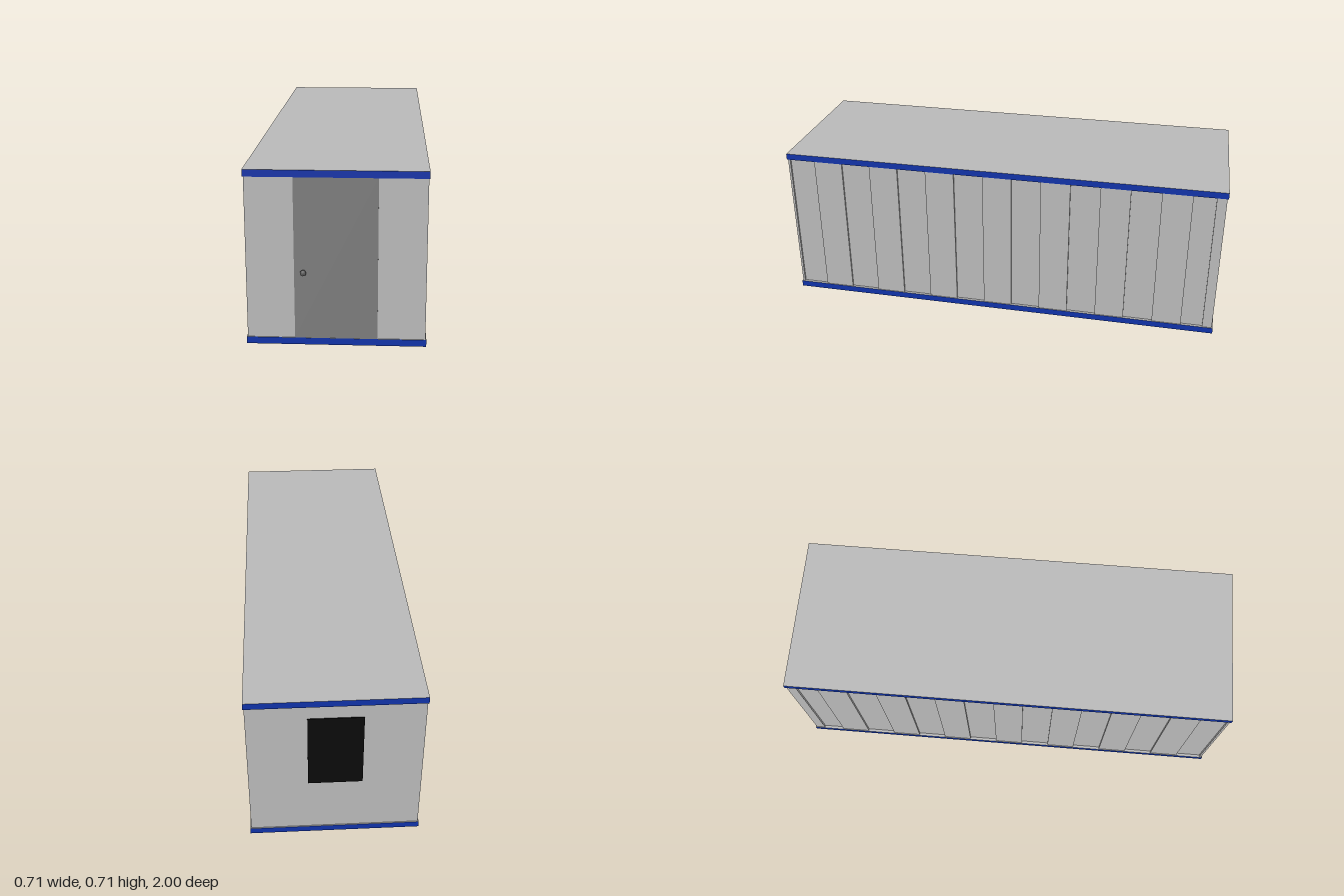
import * as THREE from 'three';

const mat = (name, color, side = THREE.FrontSide) => {
  const m = new THREE.MeshStandardMaterial({ color, side });
  m.name = name;
  return m;
};

export function createModel() {
  const grey = mat('wallGrey', 0xb8b8b8);
  const doorGrey = mat('doorGrey', 0x7b7b7b);
  const blue = mat('trimBlue', 0x0f31a6);
  const black = mat('windowBlack', 0x0a0a0a);
  const metal = mat('knobMetal', 0x5c5c5c);

  const model = new THREE.Group();
  model.name = 'cabin';
  const add = (name, geometry, material, x, y, z) => {
    const mesh = new THREE.Mesh(geometry, material);
    mesh.name = name;
    mesh.position.set(x, y, z);
    model.add(mesh);
    return mesh;
  };
  const box = (name, w, h, d, material, x, y, z) =>
    add(name, new THREE.BoxGeometry(w, h, d), material, x, y, z);

  const front = 0.98, back = -0.998;
  const length = front - back, midZ = (front + back) / 2;
  const low = 0.028, high = 0.68, band = 0.028;
  const outer = 0.349, inner = 0.34;

  // Floor and roof slabs: grey faces with blue edges
  const slab = [blue, blue, grey, grey, blue, blue];
  box('floor', 0.706, band, length, slab, 0, band / 2, midZ);
  box('roof', 0.706, band, length, slab, 0, high + band / 2, midZ);

  // Corrugated wall outline, seen from above: alternating recessed and raised panels
  const step = 0.131;
  const outline = [[outer, 0.976], [outer, 0.966], [inner, 0.966]];
  for (let k = 1; k < 15; k += 2) {
    const a = front - step * k, b = a - step;
    outline.push([inner, a], [outer, a], [outer, b], [inner, b]);
  }
  outline.push([inner, -0.95], [outer, -0.95], [outer, -0.993]);
  const full = [...outline, ...outline.map(([x, z]) => [-x, z]).reverse()];
  const walls = new THREE.ExtrudeGeometry(
    new THREE.Shape(full.map(([x, z]) => new THREE.Vector2(x, -z))),
    { depth: high - low, bevelEnabled: false }
  );
  walls.rotateX(-Math.PI / 2);
  add('corrugatedWalls', walls, grey, 0, low, 0);

  // Door on the front, window on the back
  box('door', 0.324, high - low, 0.006, doorGrey, 0, (low + high) / 2, 0.976);
  box('window', 0.22, 0.34, 0.006, black, 0, 0.45, -0.994);

  // Round door knob with a base plate and a neck
  const knobProfile = [
    [0, 0], [0.009, 0], [0.009, 0.003], [0.005, 0.004], [0.005, 0.008],
    [0.01, 0.01], [0.012, 0.014], [0.011, 0.018], [0.007, 0.021], [0, 0.022],
  ].map(([r, y]) => new THREE.Vector2(r, y));
  const knob = new THREE.LatheGeometry(knobProfile, 24);
  knob.rotateX(Math.PI / 2);
  add('doorKnob', knob, metal, -0.126, 0.303, 0.978);

  return model;
}
